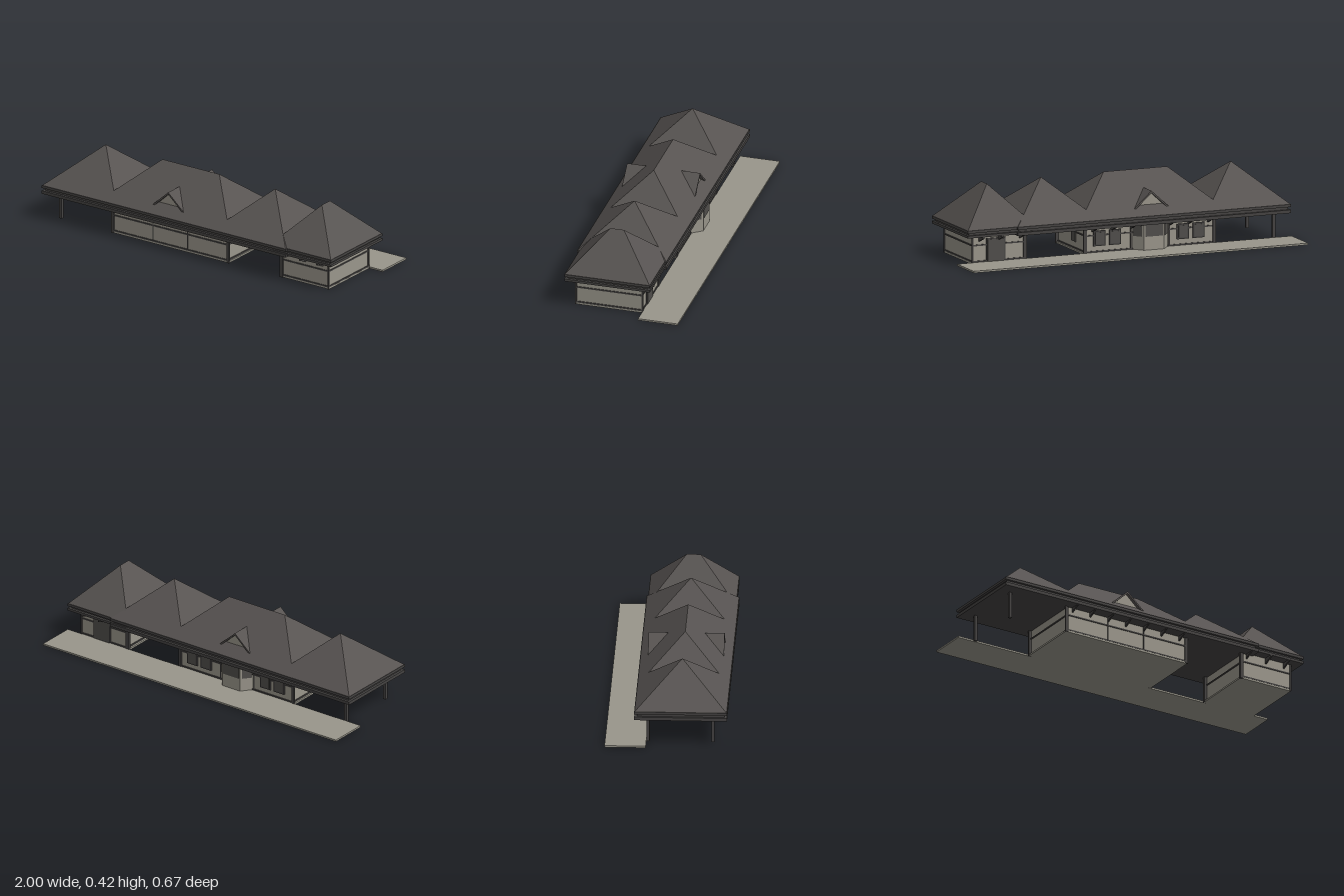
import * as THREE from 'three';
import { ConvexGeometry } from 'three/addons/geometries/ConvexGeometry.js';

const mat = (name, color) => new THREE.MeshStandardMaterial({ name, color });

export function createModel() {
  const root = new THREE.Group();
  root.name = 'stationBuilding';
  const roofMat = mat('roof slate', 0x575351);
  const trimMat = mat('dark trim', 0x454342);
  const wallMat = mat('wall render', 0x9a968b);
  const paveMat = mat('paving', 0x99968b);
  const glassMat = mat('dark glass', 0x504e4b);

  const add = (name, geometry, material, parent = root) => {
    const m = new THREE.Mesh(geometry, material);
    m.name = name;
    parent.add(m);
    return m;
  };
  // Box given by its extents
  const box = (name, material, x0, x1, y0, y1, z0, z1, parent) => {
    const g = new THREE.BoxGeometry(x1 - x0, y1 - y0, z1 - z0);
    g.translate((x0 + x1) / 2, (y0 + y1) / 2, (z0 + z1) / 2);
    return add(name, g, material, parent);
  };
  // Flat-faced solid around a few corner points
  const solid = (name, material, pts, parent) =>
    add(name, new ConvexGeometry(pts.map((p) => new THREE.Vector3(...p))), material, parent);

  // Ground slabs
  box('platform', paveMat, -1, 1, 0, 0.01, -0.335, -0.11);
  box('mainSlab', paveMat, -0.545, 0.24, 0, 0.01, -0.11, 0.27);
  box('rightSlab', paveMat, 0.585, 0.91, 0, 0.01, -0.11, 0.27);

  // Eaves: two fascia bands with a recessed band between
  const eaves = (name, x0, x1, z0, z1, low, mid) => {
    const g = new THREE.Group();
    g.name = name;
    root.add(g);
    box('upperFascia', trimMat, x0, x1, 0.185, 0.2, z0, z1, g);
    box('recessedBand', trimMat, x0 + 0.014, x1 - 0.014, mid, 0.185, z0 + 0.014, z1 - 0.014, g);
    box('lowerFascia', trimMat, x0, x1, low, mid, z0, z1, g);
  };
  eaves('mainEaves', -0.97, 0.665, -0.174, 0.334, 0.151, 0.169);
  eaves('rightEaves', 0.56, 0.96, -0.165, 0.322, 0.158, 0.172);

  // Hipped roofs that run into one another, leaving level valleys
  const hip = (name, x0, x1, z0, z1, rx0, rx1, rz0, rz1, top) =>
    solid(name, roofMat, [
      [x0, 0.198, z0], [x1, 0.198, z0], [x0, 0.198, z1], [x1, 0.198, z1],
      [rx0, top, rz0], [rx1, top, rz1],
    ]);
  hip('leftRoof', -0.97, -0.47, -0.174, 0.334, -0.72, -0.72, 0.08, 0.08, 0.416);
  hip('middleRoof', -0.59, 0.29, -0.174, 0.334, -0.34, 0.04, 0.08, 0.08, 0.416);
  hip('linkRoof', 0.165, 0.665, -0.174, 0.334, 0.415, 0.415, 0.08, 0.08, 0.416);
  hip('rightRoof', 0.55, 0.96, -0.165, 0.322, 0.755, 0.755, 0.042, 0.118, 0.412);

  // Gabled dormers on both long slopes of the middle roof
  for (const s of [1, -1]) {
    const g = new THREE.Group();
    g.name = s > 0 ? 'frontDormer' : 'backDormer';
    root.add(g);
    const cx = -0.155;
    const z = (d) => 0.08 + s * d;
    for (const side of [1, -1]) {
      const top = [[cx + side * 0.105, 0.236, z(0.208)], [cx, 0.331, z(0.208)], [cx, 0.331, z(0.1)]];
      solid('dormerSlope', roofMat, [...top, ...top.map(([x, y, w]) => [x, y - 0.012, w])], g);
    }
    const gable = [[cx - 0.08, 0.245], [cx + 0.08, 0.245], [cx, 0.32]];
    solid('dormerGable', wallMat,
      [0.182, 0.19].flatMap((d) => gable.map(([x, y]) => [x, y, z(d)])), g);
  }

  // Walled blocks with corner posts, rails, panel dividers and brackets
  const Z0 = -0.105, Z1 = 0.267;
  const block = (name, x0, x1, postW, dividers, brackets) => {
    const g = new THREE.Group();
    g.name = name;
    root.add(g);
    box('walls', wallMat, x0, x1, 0.01, 0.16, Z0, Z1, g);
    for (const [y0, y1] of [[0.01, 0.018], [0.1, 0.108]])
      box('rail', trimMat, x0 - 0.004, x1 + 0.004, y0, y1, Z0 - 0.004, Z1 + 0.004, g);
    for (const z of [Z0 - 0.007, Z1 - 0.001]) {
      box('cornerPost', trimMat, x0 - postW, x0 + 0.003, 0, 0.16, z, z + 0.008, g);
      box('cornerPost', trimMat, x1 - 0.003, x1 + postW, 0, 0.16, z, z + 0.008, g);
    }
    for (const x of dividers)
      box('panelDivider', trimMat, x - 0.003, x + 0.003, 0.01, 0.16, Z0 - 0.003, Z1 + 0.003, g);
    for (const x of brackets)
      for (const [za, zb] of [[Z1, 0.322], [Z0, -0.163]])
        solid('eavesBracket', trimMat, [-0.004, 0.004].flatMap((d) => [
          [x + d, 0.125, za], [x + d, 0.16, za], [x + d, 0.16, zb], [x + d, 0.148, zb],
        ]), g);
    return g;
  };
  const main = block('mainBlock', -0.532, 0.228, 0.016, [-0.27, -0.04],
    [-0.5, -0.385, -0.27, -0.155, -0.04, 0.075, 0.19]);
  const right = block('rightBlock', 0.6, 0.905, 0.006, [], [0.625, 0.75, 0.865]);
  box('entryPost', trimMat, 0.582, 0.598, 0, 0.16, 0.258, 0.274, right);
  box('entryPost', trimMat, 0.582, 0.598, 0, 0.16, -0.112, -0.096, right);

  // Splayed bay facing the platform
  solid('platformBay', wallMat, [0.01, 0.16].flatMap((y) => [
    [-0.265, y, -0.1], [-0.045, y, -0.1], [-0.215, y, -0.163], [-0.095, y, -0.163],
  ]), main);
  box('bayWindow', glassMat, -0.208, -0.102, 0.085, 0.15, -0.166, -0.162, main);
  for (const s of [1, -1]) {
    const w = add('baySideWindow', new THREE.BoxGeometry(0.055, 0.065, 0.005), glassMat, main);
    w.position.set(-0.155 + s * 0.085, 0.1175, -0.132);
    w.rotation.y = s * -Math.atan2(0.063, 0.05);
  }

  // Framed windows along the platform wall
  for (const x of [-0.444, -0.35, 0.055, 0.15]) {
    box('windowFrame', trimMat, x - 0.035, x + 0.035, 0.045, 0.13, -0.113, -0.104, main);
    box('windowPane', glassMat, x - 0.026, x + 0.026, 0.054, 0.121, -0.115, -0.112, main);
  }
  box('sideWindow', glassMat, 0.227, 0.234, 0.05, 0.13, 0.025, 0.085, main);

  // Platform door of the right block
  box('doorFrame', trimMat, 0.71, 0.825, 0.01, 0.14, -0.111, -0.104, right);
  box('door', glassMat, 0.717, 0.818, 0.01, 0.133, -0.113, -0.11, right);

  // Free-standing posts under the open left end
  for (const z of [-0.1, 0.255])
    box('canopyPost', trimMat, -0.904, -0.887, 0, 0.155, z - 0.008, z + 0.008);

  return root;
}
